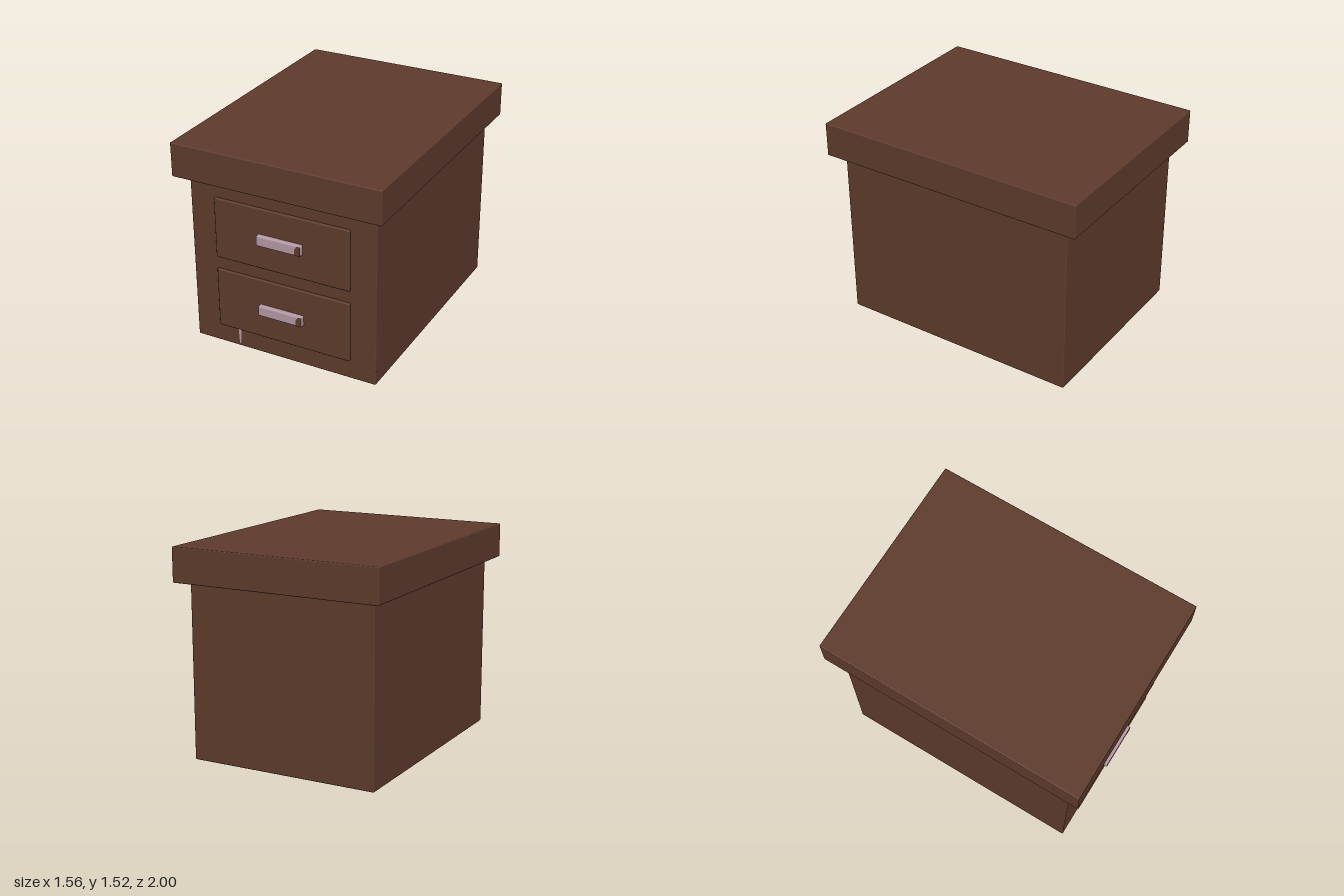
import * as THREE from 'three';
import { RoundedBoxGeometry } from 'three/addons/geometries/RoundedBoxGeometry.js';

export function createModel() {
  const group = new THREE.Group();
  const wood = new THREE.MeshStandardMaterial({ color: 0x5f3b2d });
  wood.name = 'brown wood';
  const metal = new THREE.MeshStandardMaterial({ color: 0xb599a5 });
  metal.name = 'pale pink metal';

  const add = (name, geometry, material, parent = group) => {
    const mesh = new THREE.Mesh(geometry, material);
    mesh.name = name;
    parent.add(mesh);
    return mesh;
  };

  // Softly bevelled box given by its minimum and maximum corners
  const box = (name, min, max, radius, material, parent) => {
    const size = max.map((v, i) => v - min[i]);
    const mesh = add(name, new RoundedBoxGeometry(...size, 3, radius), material, parent);
    mesh.position.set(...max.map((v, i) => (v + min[i]) / 2));
    return mesh;
  };

  // Thin painted plate outlined by x, y points
  const plate = (name, points, z, material, parent) => {
    const shape = new THREE.Shape(points.map(([x, y]) => new THREE.Vector2(x, y)));
    const geometry = new THREE.ExtrudeGeometry(shape, { depth: 0.002, bevelEnabled: false });
    add(name, geometry, material, parent).position.z = z;
  };

  // Cabinet body and overhanging top
  box('cabinetBody', [-0.703, 0, -0.9], [0.703, 1.275, 0.9], 0.008, wood);
  box('tabletop', [-0.78, 1.272, -1], [0.78, 1.52, 1], 0.008, wood);

  // Two drawers, each with a bar handle and a brown patch at its left end
  for (const [name, y] of [['lowerDrawer', 0.14], ['upperDrawer', 0.685]]) {
    const drawer = new THREE.Group();
    drawer.name = name;
    drawer.position.y = y;
    group.add(drawer);
    box('drawerFront', [-0.512, 0, 0.87], [0.512, 0.453, 0.918], 0.01, wood, drawer);
    box('handle', [-0.173, 0.186, 0.9], [0.167, 0.264, 0.95], 0.01, metal, drawer);
    plate('handlePatch',
      [[0.122, 0.19], [0.164, 0.19], [0.164, 0.258], [0.14, 0.258], [0.122, 0.235]],
      0.949, wood, drawer);
  }

  // Narrow tapering sliver below the lower drawer
  plate('sliver', [[-0.361, 0.02], [-0.348, 0.02], [-0.345, 0.14], [-0.369, 0.14]], 0.899, metal);

  return group;
}
